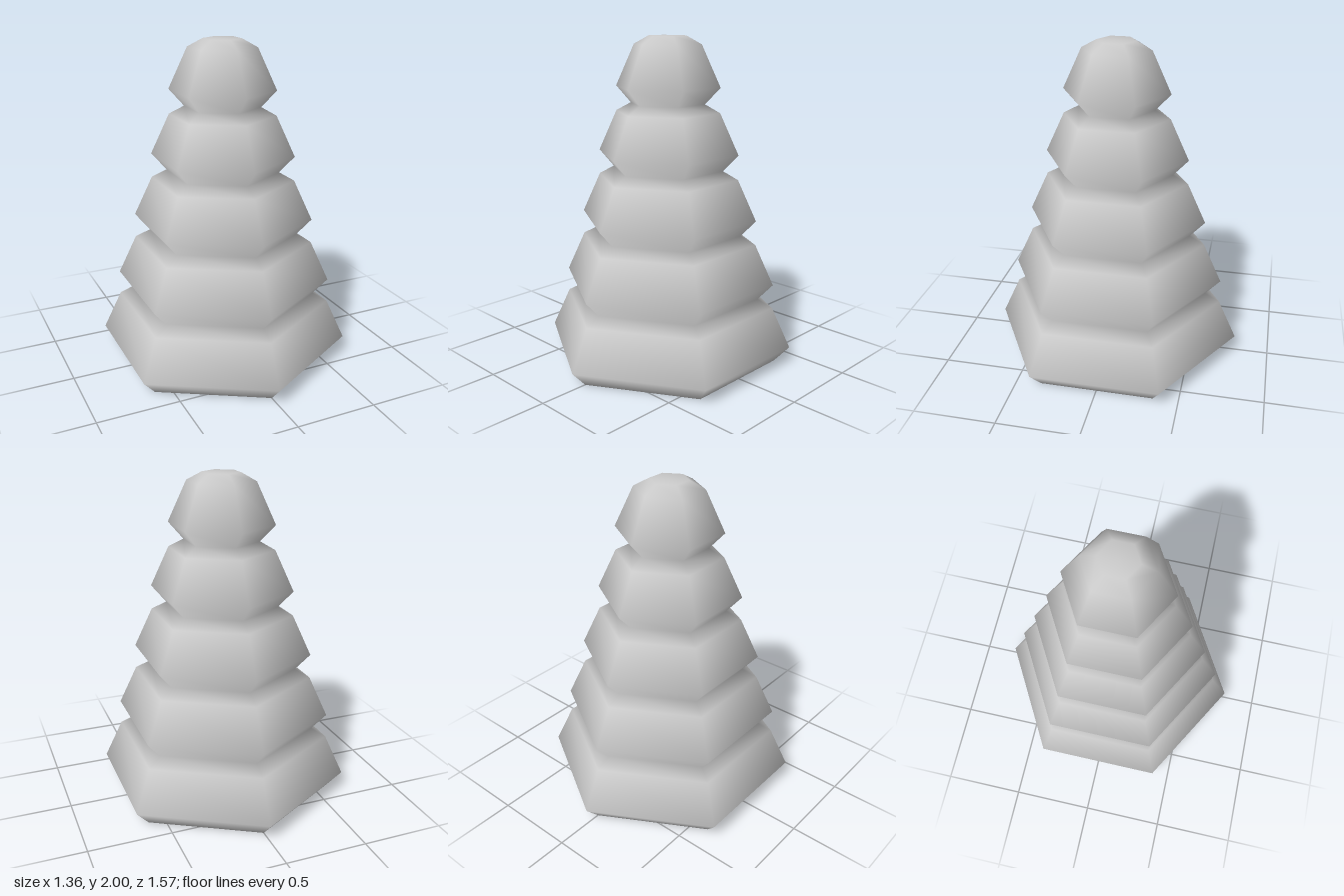
import * as THREE from 'three';

const TIERS = 5;
const SIDES = 6;
const TO_CORNER = 1 / Math.cos(Math.PI / SIDES); // flat-to-flat half width -> corner radius

export function createModel() {
  const group = new THREE.Group();
  group.name = 'tieredTree';

  // Outline from the open bottom rim to the closed top
  const profile = [];
  const add = (halfWidth, y) => profile.push(new THREE.Vector2(halfWidth * TO_CORNER, y));
  for (let i = 0; i < TIERS; i++) {
    const y = i * 0.4;
    const waist = 0.6 - i * 0.1;
    add(waist, y);               // narrow waist
    add(waist + 0.08, y + 0.1);  // widest edge
    add(waist - 0.02, y + 0.35); // shoulder
  }
  add(0.1, 2);
  add(0, 2);

  // Hollow six-sided shell, smooth shaded, corners on +z and -z
  const shell = new THREE.Mesh(
    new THREE.LatheGeometry(profile, SIDES),
    new THREE.MeshStandardMaterial({ color: 0xcccccc, side: THREE.DoubleSide })
  );
  shell.name = 'tieredShell';
  group.add(shell);
  return group;
}
